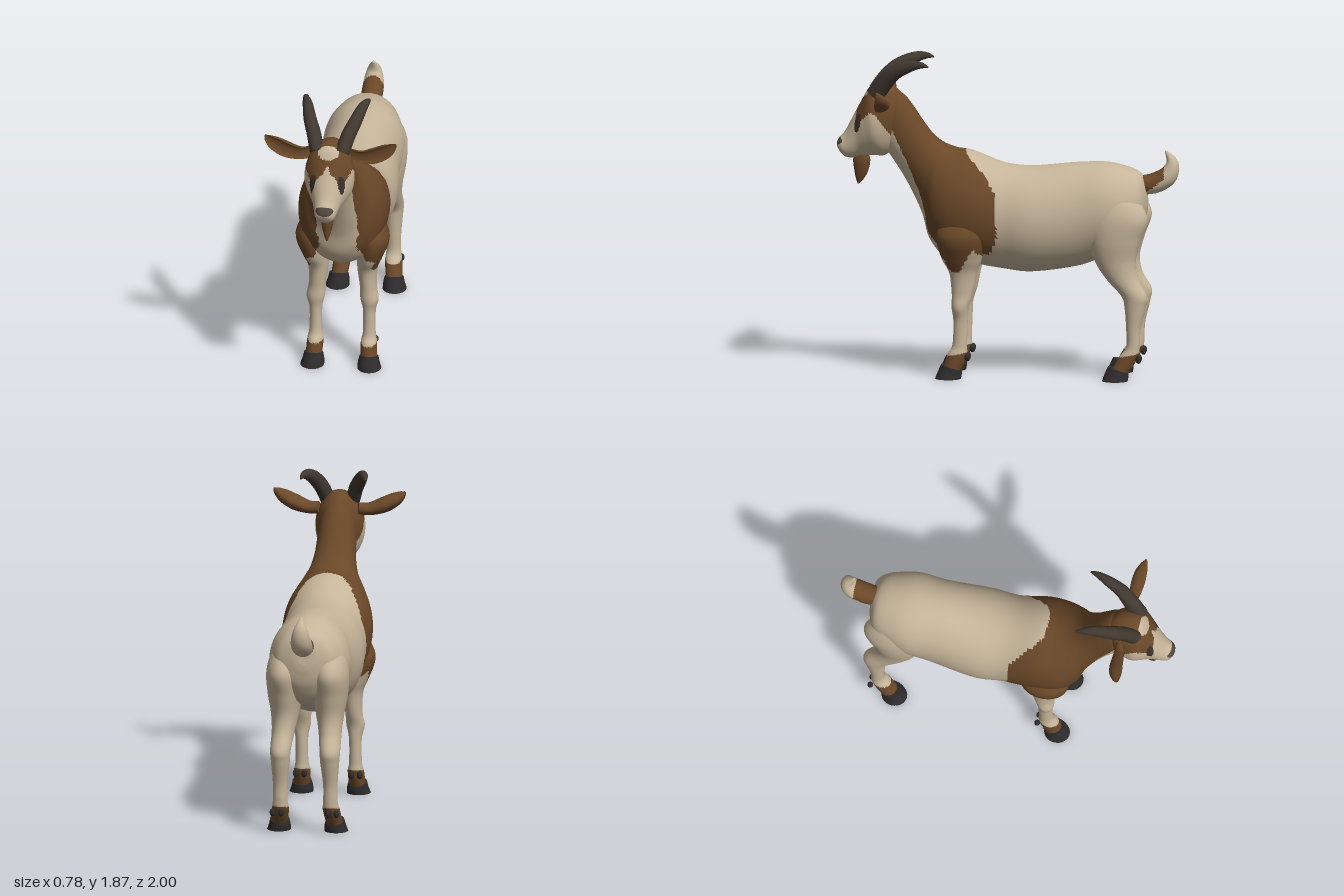
import * as THREE from 'three';

const flat = (name, color) => Object.assign(new THREE.MeshStandardMaterial({ color }), { name });
const cream = flat('cream', 0xc6b59a), brown = flat('brown', 0x6a4828), hoofBlack = flat('hoof black', 0x2e2c2d);
const hornGrey = flat('horn grey', 0x40382f), noseGrey = flat('nose grey', 0x52483f), eyeDark = flat('eye dark', 0x3a3029);

// Catmull-Rom interpolation of every column in a table of sections
function refine(rows, steps) {
  const out = [], last = rows.length - 1;
  const row = i => rows[Math.min(last, Math.max(0, i))];
  for (let i = 0; i < last; i++) {
    for (let k = 0; k < steps; k++) {
      const t = k / steps;
      out.push(rows[i].map((p1, c) => {
        const p0 = row(i - 1)[c], p2 = row(i + 1)[c], p3 = row(i + 2)[c];
        return p1 + 0.5 * t * (p2 - p0 + t * (2 * p0 - 5 * p1 + 4 * p2 - p3 + t * (3 * (p1 - p2) + p3 - p0)));
      }));
    }
  }
  out.push(rows[last]);
  return out;
}

// Closed skin over rings {c, u, v}; paint(x, y, z) picks the material of each face
function loft(name, rings, materials, paint = () => 0, radial = 48, cup = 1) {
  const pos = [], faces = materials.map(() => []);
  const addRing = r => {
    for (let j = 0; j < radial; j++) {
      const a = j / radial * Math.PI * 2, s = Math.sin(a);
      const p = r.c.clone().addScaledVector(r.u, Math.cos(a)).addScaledVector(r.v, s > 0 ? s * cup : s);
      pos.push(p.x, p.y, p.z);
    }
  };
  const tri = (...ids) => {
    const mid = k => ids.reduce((sum, i) => sum + pos[i * 3 + k], 0) / 3;
    faces[paint(mid(0), mid(1), mid(2))].push(...ids);
  };
  rings.forEach(addRing);
  for (let i = 0; i < rings.length - 1; i++) {
    for (let j = 0; j < radial; j++) {
      const a = i * radial + j, b = i * radial + (j + 1) % radial;
      tri(a, a + radial, b);
      tri(b, a + radial, b + radial);
    }
  }
  // end caps
  [rings[0], rings[rings.length - 1]].forEach((r, end) => {
    const start = pos.length / 3, centre = start + radial;
    addRing(r);
    pos.push(r.c.x, r.c.y, r.c.z);
    for (let j = 0; j < radial; j++) {
      const a = start + j, b = start + (j + 1) % radial;
      if (end) tri(centre, b, a); else tri(centre, a, b);
    }
  });
  const geo = new THREE.BufferGeometry();
  geo.setAttribute('position', new THREE.Float32BufferAttribute(pos, 3));
  geo.setIndex(faces.flat());
  let offset = 0;
  faces.forEach((f, m) => { if (f.length) geo.addGroup(offset, f.length, m); offset += f.length; });
  geo.computeVertexNormals();
  const mesh = new THREE.Mesh(geo, materials);
  mesh.name = name;
  return mesh;
}

// Rows: top z, top y, bottom z, bottom y, half width, centre x
const profile = (rows, steps = 10) => refine(rows, steps).map(([tz, ty, bz, by, w, x = 0]) => ({
  c: new THREE.Vector3(x, (ty + by) / 2, (tz + bz) / 2),
  u: new THREE.Vector3(0, (ty - by) / 2, (tz - bz) / 2),
  v: new THREE.Vector3(w, 0, 0),
}));

// Rows: x, y, z, radius across the hint, radius along the hint
function sweep(rows, hint, steps = 8) {
  const fine = refine(rows, steps), at = i => new THREE.Vector3(...fine[i].slice(0, 3));
  return fine.map((r, i) => {
    const dir = at(Math.min(i + 1, fine.length - 1)).sub(at(Math.max(i - 1, 0))).normalize();
    const v = hint.clone().addScaledVector(dir, -hint.dot(dir)).normalize();
    const u = dir.clone().cross(v);
    return { c: at(i), u: u.multiplyScalar(r[3]), v: v.multiplyScalar(r[4]) };
  });
}

// Side outline (z, y) of the brown shoulder, neck and cheek patch
const patch = [[0.24, 1.4], [0.24, 1.32], [0.2, 1.28], [0.12, 1.2], [0.06, 1.1], [0.06, 1.02], [0.045, 0.85], [0.08, 0.75],
  [0.14, 0.73], [0.18, 0.77], [0.21, 0.73], [0.27, 0.63], [0.33, 0.63], [0.35, 0.7], [0.47, 0.8], [0.47, 0.95], [0.5, 1.07],
  [0.575, 1.25], [0.63, 1.36], [0.7, 1.45], [0.76, 1.54], [0.8, 1.555], [0.85, 1.5], [0.885, 1.5], [0.88, 1.56],
  [0.845, 1.63], [0.8, 1.67], [0.77, 1.75], [0.5, 1.75]];
function inPatch(z, y) {
  let inside = false;
  patch.forEach(([z1, y1], i) => {
    const [z2, y2] = patch[(i + 1) % patch.length];
    if ((y1 > y) !== (y2 > y) && z < z1 + (y - y1) / (y2 - y1) * (z2 - z1)) inside = !inside;
  });
  return inside;
}
function coat(x, y, z) {
  const bib = Math.abs(x) < 0.11 + Math.max(0, 0.85 - y) * 0.35;
  const front = y < 0.85 || (y < 1.45 && z > 0.33 + 0.45 * (y - 0.7));
  return inPatch(z, y) && !(bib && front) ? 1 : 0;
}
function face(x, y, z) {
  if (z > 0.9 && (x / 0.052) ** 2 + ((y - 1.367) / 0.026) ** 2 < 1) return 2;
  const ez = z - 0.872 - (1.485 - y) * 0.15;
  if (Math.abs(x) > 0.04 && (ez / 0.017) ** 2 + ((y - 1.485) / 0.055) ** 2 < 1) return 3;
  return inPatch(z, y) ? 1 : 0;
}

// Rows: y, front z, back z, inner x, outer x
const legRings = (rows, s) => profile(rows.map(([y, zf, zb, xi, xo]) => [zf, y, zb, y, (xo - xi) / 2, s * (xi + xo) / 2]), 8);
const foreRows = [[1.02, 0.34, 0.18, 0.1, 0.18], [0.88, 0.4, 0.12, 0.08, 0.262], [0.8, 0.4, 0.12, 0.08, 0.272],
  [0.7, 0.37, 0.14, 0.085, 0.235], [0.62, 0.33, 0.165, 0.085, 0.205], [0.5, 0.315, 0.19, 0.1, 0.2],
  [0.42, 0.315, 0.215, 0.105, 0.212], [0.34, 0.305, 0.22, 0.12, 0.195], [0.2, 0.31, 0.225, 0.12, 0.195],
  [0.14, 0.34, 0.225, 0.11, 0.205], [0.045, 0.37, 0.26, 0.115, 0.21]];
const hindRows = [[1.12, -0.54, -0.72, 0.05, 0.15], [1.06, -0.48, -0.775, 0.04, 0.21], [0.95, -0.46, -0.83, 0.03, 0.24],
  [0.82, -0.48, -0.79, 0.03, 0.235], [0.7, -0.52, -0.76, 0.05, 0.215], [0.6, -0.585, -0.775, 0.07, 0.205],
  [0.5, -0.675, -0.828, 0.085, 0.205], [0.43, -0.695, -0.82, 0.09, 0.2], [0.3, -0.705, -0.79, 0.105, 0.19],
  [0.2, -0.705, -0.785, 0.105, 0.19], [0.14, -0.665, -0.775, 0.1, 0.2], [0.045, -0.61, -0.72, 0.115, 0.21]];

function leg(name, rows, s, toe, x) {
  const g = new THREE.Group();
  g.name = name;
  const paint = (px, py, pz) => (py < 0.14 + (toe - pz - 0.1) * 0.2 ? 1 : coat(px, py, pz));
  g.add(loft(name + 'Limb', legRings(rows, s), [cream, brown], paint, 36));
  // hoof with a sloping top edge
  g.add(loft(name + 'Hoof', profile([[toe - 0.035, 0.085, toe - 0.155, 0.05, 0.055, s * x],
    [toe - 0.015, 0.04, toe - 0.155, 0.025, 0.063, s * x], [toe, 0, toe - 0.15, 0, 0.07, s * (x + 0.005)]], 4), [hoofBlack], undefined, 28));
  // dewclaws behind the pastern
  for (const d of [-0.025, 0.025]) {
    const claw = new THREE.Mesh(new THREE.SphereGeometry(0.017, 12, 8), hoofBlack);
    claw.scale.y = 1.4;
    claw.position.set(s * x + d, 0.13, toe - 0.19 - (toe < 0 ? 0.025 : 0));
    claw.name = name + 'Dewclaw';
    g.add(claw);
  }
  return g;
}

export function createModel() {
  const goat = new THREE.Group();
  goat.name = 'goat';
  const X = new THREE.Vector3(1, 0, 0), Z = new THREE.Vector3(0, 0, 1);

  // torso and neck
  goat.add(loft('torsoAndNeck', profile([[-0.81, 1.14, -0.82, 1.02, 0.04], [-0.8, 1.175, -0.815, 0.97, 0.085],
    [-0.76, 1.215, -0.79, 0.88, 0.16], [-0.68, 1.245, -0.72, 0.78, 0.205], [-0.57, 1.265, -0.58, 0.72, 0.235],
    [-0.4, 1.26, -0.42, 0.655, 0.235], [-0.15, 1.237, -0.15, 0.615, 0.26], [0.02, 1.253, 0.02, 0.63, 0.248],
    [0.2, 1.32, 0.2, 0.66, 0.262], [0.3, 1.338, 0.36, 0.695, 0.25], [0.38, 1.37, 0.455, 0.8, 0.21],
    [0.44, 1.42, 0.5, 0.95, 0.16], [0.5, 1.5, 0.575, 1.11, 0.127], [0.56, 1.59, 0.65, 1.235, 0.115],
    [0.62, 1.655, 0.71, 1.32, 0.11], [0.7, 1.67, 0.76, 1.38, 0.08]]), [cream, brown], coat, 72));

  // head
  goat.add(loft('head', profile([[0.6, 1.63, 0.64, 1.42, 0.07], [0.66, 1.69, 0.68, 1.32, 0.118], [0.74, 1.712, 0.72, 1.287, 0.14],
    [0.81, 1.685, 0.76, 1.285, 0.145], [0.86, 1.6, 0.81, 1.285, 0.118], [0.905, 1.515, 0.86, 1.28, 0.087],
    [0.95, 1.43, 0.9, 1.27, 0.07], [0.985, 1.388, 0.945, 1.273, 0.058], [0.998, 1.36, 0.975, 1.295, 0.04],
    [1, 1.34, 0.99, 1.32, 0.015]]), [cream, brown, noseGrey, eyeDark], face, 72));

  // beard
  goat.add(loft('beard', sweep([[0, 1.31, 0.86, 0.035, 0.03], [0, 1.26, 0.855, 0.05, 0.037], [0, 1.2, 0.858, 0.042, 0.03],
    [0, 1.15, 0.867, 0.025, 0.017], [0, 1.115, 0.875, 0.004, 0.004]], X), [brown], undefined, 20));

  // upturned tail
  goat.add(loft('tail', sweep([[0, 1.13, -0.77, 0.055, 0.055], [0, 1.145, -0.86, 0.06, 0.062], [0, 1.19, -0.935, 0.056, 0.06],
    [0, 1.265, -0.96, 0.036, 0.042], [0, 1.335, -0.922, 0.006, 0.006]], X), [cream, brown],
  (x, y, z) => (z > -0.915 && y > 1.1 - (z + 0.82) * 0.8 ? 1 : 0), 32));

  for (const s of [1, -1]) {
    const side = s > 0 ? 'left' : 'right';
    // horn sweeping back
    goat.add(loft(side + 'Horn', sweep([[s * 0.075, 1.65, 0.77, 0.055, 0.042], [s * 0.1, 1.73, 0.715, 0.052, 0.042],
      [s * 0.133, 1.795, 0.65, 0.044, 0.038], [s * 0.16, 1.838, 0.56, 0.034, 0.03], [s * 0.18, 1.848, 0.495, 0.02, 0.018],
      [s * 0.19, 1.838, 0.45, 0.005, 0.005]], X), [hornGrey], undefined, 24));
    // ear cupped towards the front
    goat.add(loft(side + 'Ear', sweep([[s * 0.11, 1.61, 0.71, 0.035, 0.035], [s * 0.18, 1.605, 0.735, 0.038, 0.06],
      [s * 0.26, 1.628, 0.75, 0.046, 0.075], [s * 0.33, 1.665, 0.75, 0.04, 0.065], [s * 0.37, 1.695, 0.742, 0.022, 0.035],
      [s * 0.386, 1.712, 0.735, 0.004, 0.006]], Z), [brown], undefined, 32, -0.3));
    goat.add(leg(side + 'ForeLeg', foreRows, s, 0.41, 0.163));
    goat.add(leg(side + 'HindLeg', hindRows, s, -0.565, 0.163));
  }
  return goat;
}
